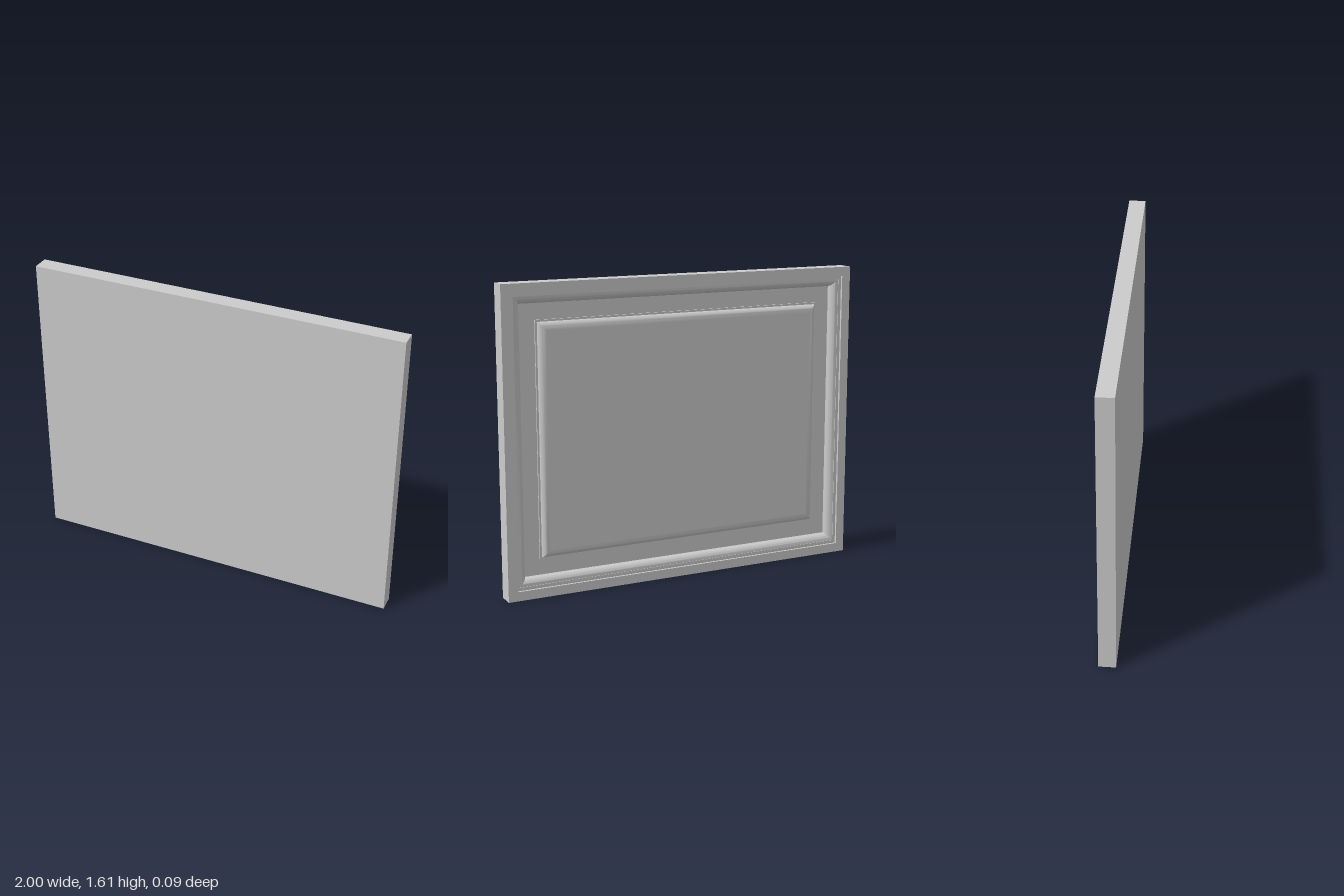
import * as THREE from 'three';
import { toCreasedNormals } from 'three/addons/utils/BufferGeometryUtils.js';

const W = 2, H = 1.61, T = 0.09;

// Rectangular bands following a profile of [inset from the edge, depth from the back face]
function mitredBands(profile) {
  const pos = [];
  const corners = [[1, 1], [-1, 1], [-1, -1], [1, -1]];
  const point = ([inset, depth], k) => {
    const [sx, sy] = corners[k % 4];
    return [sx * (W / 2 - inset), H / 2 + sy * (H / 2 - inset), depth - T / 2];
  };
  for (let i = 0; i < profile.length - 1; i++) {
    for (let k = 0; k < 4; k++) {
      const a = point(profile[i], k), b = point(profile[i + 1], k);
      const c = point(profile[i + 1], k + 1), d = point(profile[i], k + 1);
      pos.push(...a, ...b, ...c, ...a, ...c, ...d);
    }
  }
  const geo = new THREE.BufferGeometry();
  geo.setAttribute('position', new THREE.Float32BufferAttribute(pos, 3));
  return toCreasedNormals(geo, Math.PI / 6);
}

// Convex quarter round between two profile points, flat at the shallow end
function quarterRound([u0, d0], [u1, d1], steps = 10) {
  return Array.from({ length: steps + 1 }, (_, i) => {
    const t = (i / steps) * Math.PI / 2;
    return [u0 + (u1 - u0) * Math.sin(t), d0 + (d1 - d0) * (1 - Math.cos(t))];
  });
}

export function createModel() {
  const group = new THREE.Group();
  const grey = new THREE.MeshStandardMaterial({ color: 0xcccccc });
  grey.name = 'plain grey';
  const add = (name, geo) => {
    const mesh = new THREE.Mesh(geo, grey);
    mesh.name = name;
    group.add(mesh);
    return mesh;
  };

  // Plain front face
  add('frontFace', new THREE.PlaneGeometry(W, H)).position.set(0, H / 2, T / 2);

  // Outer edges and the flat border on the back
  add('outerFrame', mitredBands([[0, T], [0, 0], [0.049, 0]]));

  // Small step and rounded moulding down to the recess
  add('frameMoulding', mitredBands([
    [0.049, 0], [0.049, 0.012], [0.066, 0.012],
    ...quarterRound([0.066, 0.015], [0.106, 0.054]),
  ]));

  // Flat recess around the centre panel
  add('recess', mitredBands([[0.106, 0.054], [0.19, 0.054]]));

  // Step and rounded edge rising to the raised panel
  add('panelMoulding', mitredBands([
    [0.19, 0.054], [0.19, 0.046], [0.2, 0.046],
    ...quarterRound([0.24, 0.02], [0.2, 0.046]).reverse(),
  ]));

  // Raised centre panel
  const panel = add('raisedPanel', new THREE.PlaneGeometry(W - 0.48, H - 0.48));
  panel.position.set(0, H / 2, 0.02 - T / 2);
  panel.rotation.y = Math.PI;

  return group;
}
